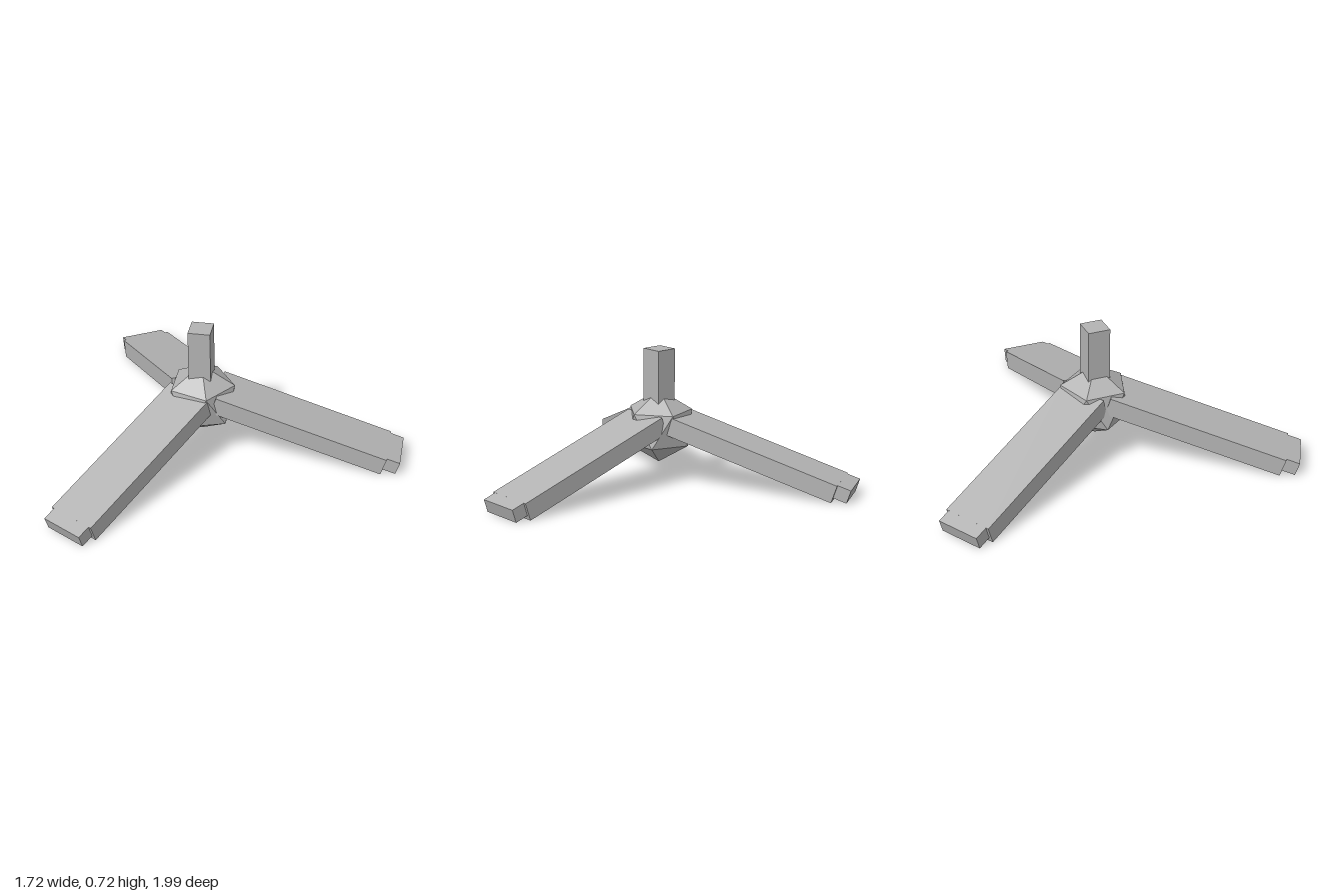
import * as THREE from 'three';
import { ConvexGeometry } from 'three/addons/geometries/ConvexGeometry.js';

const grey = new THREE.MeshStandardMaterial({ color: 0xb3b3b3 });
grey.name = 'grey';
grey.flatShading = true;

// Box with a name, centred at (x, y), tilted about z
function box(name, size, x, y, tilt = 0) {
  const mesh = new THREE.Mesh(new THREE.BoxGeometry(...size), grey);
  mesh.name = name;
  mesh.position.set(x, y, 0);
  mesh.rotation.z = tilt;
  return mesh;
}

// Icosahedron standing on a point: two poles and two staggered rings of five
function hubGeometry(radius) {
  const points = [new THREE.Vector3(0, radius, 0), new THREE.Vector3(0, -radius, 0)];
  const ring = radius * 2 / Math.sqrt(5);
  const height = radius / Math.sqrt(5);
  for (let i = 0; i < 10; i++) {
    const a = i * Math.PI / 5;
    points.push(new THREE.Vector3(ring * Math.cos(a), i % 2 ? -height : height, ring * Math.sin(a)));
  }
  return new ConvexGeometry(points);
}

export function createModel() {
  const model = new THREE.Group();
  model.name = 'tripodBase';

  // Everything is arranged around the hub's vertical axis
  const base = new THREE.Group();
  base.name = 'base';
  base.position.x = -0.22;
  model.add(base);

  const hub = new THREE.Mesh(hubGeometry(0.2), grey);
  hub.name = 'hub';
  hub.position.y = 0.3;
  base.add(hub);

  base.add(box('post', [0.118, 0.4, 0.118], 0, 0.525));

  // Three sloping legs with a foot at each end
  const slope = -0.309;
  for (let i = 0; i < 3; i++) {
    const leg = new THREE.Group();
    leg.name = 'leg' + (i + 1);
    leg.rotation.y = i * Math.PI * 2 / 3;
    leg.add(box('legBeam', [0.955, 0.098, 0.27], 0.54, 0.192, slope));
    leg.add(box('foot', [0.118, 0.073, 0.24], 1.013, 0.054, slope));
    base.add(leg);
  }
  return model;
}
